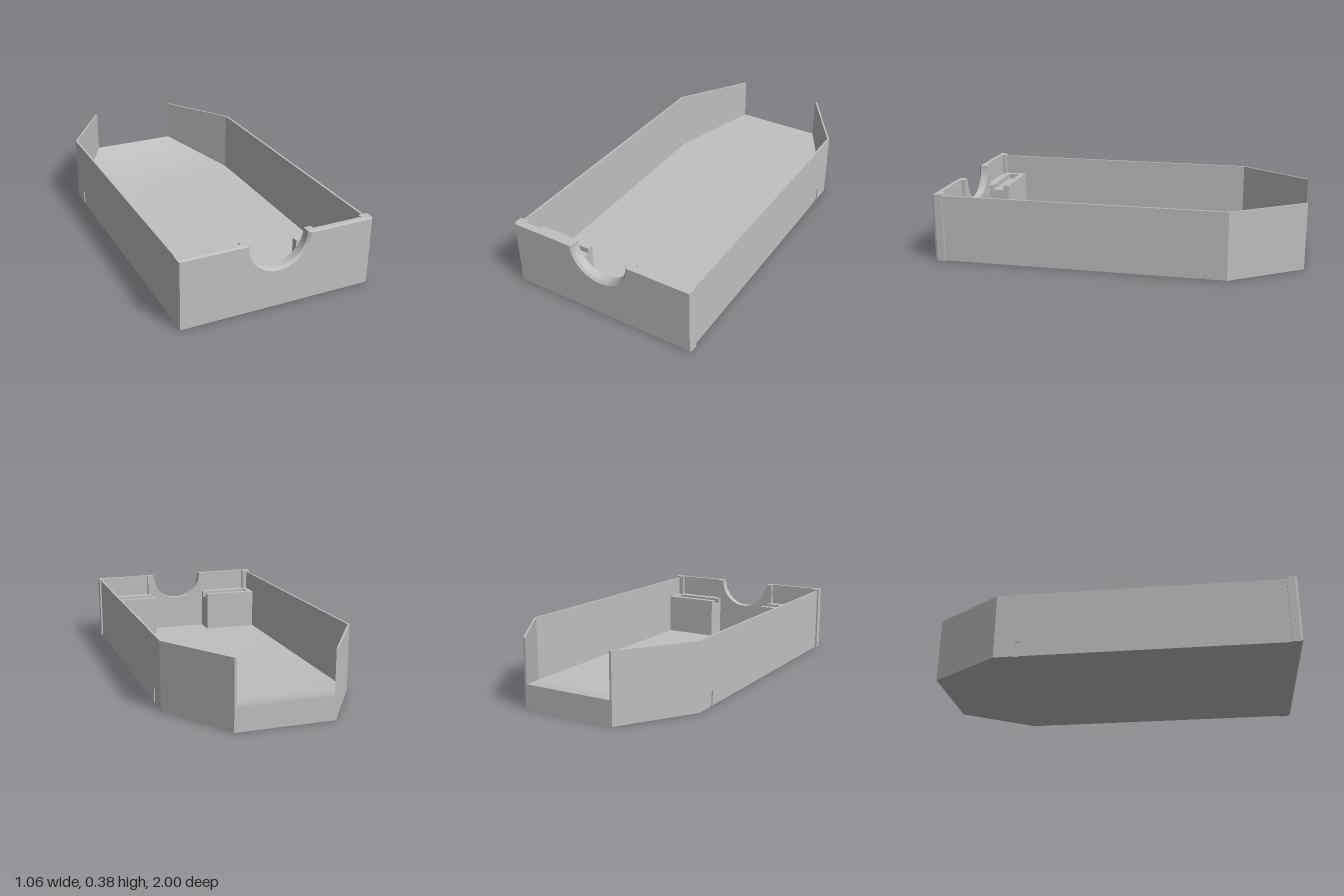
import * as THREE from 'three';

const H = 0.37;        // side wall height
const OUT = 0.52;      // outer half width
const INN = 0.508;     // inner half width
const BEND = -0.61;    // where the sides start to taper
const PLATE_Z = 0.967; // rear face of the front panel

export function createModel() {
  const group = new THREE.Group();
  const gray = new THREE.MeshStandardMaterial({ color: 0xc0c0c0 });
  gray.name = 'lightGray';

  const add = (name, geo) => {
    const mesh = new THREE.Mesh(geo, gray);
    mesh.name = name;
    group.add(mesh);
    return mesh;
  };
  // box given by its limits
  const box = (name, x0, x1, y0, y1, z0, z1) => {
    const g = new THREE.BoxGeometry(Math.abs(x1 - x0), y1 - y0, z1 - z0);
    g.translate((x0 + x1) / 2, (y0 + y1) / 2, (z0 + z1) / 2);
    return add(name, g);
  };
  const shapeOf = (pts) => new THREE.Shape(pts.map(([x, y]) => new THREE.Vector2(x, y)));
  const prism = (pts, depth) => new THREE.ExtrudeGeometry(shapeOf(pts), { depth, bevelEnabled: false });
  // flat-shaded quads, corners counterclockwise
  const quads = (list) => {
    const pos = [];
    for (const [a, b, c, d] of list) pos.push(...a, ...b, ...c, ...a, ...c, ...d);
    const g = new THREE.BufferGeometry();
    g.setAttribute('position', new THREE.Float32BufferAttribute(pos, 3));
    g.computeVertexNormals();
    return g;
  };

  // floor: flat, then a ramp up to the rear lip, as sections of [z, half width, height]
  const rows = [[PLATE_Z, INN, 0.015], [BEND, INN, 0.015], [-1, 0.253, 0.13]];
  const top = new THREE.BufferGeometry();
  top.setAttribute('position', new THREE.Float32BufferAttribute(
    rows.flatMap(([z, w, y]) => [-w, y, z, w, y, z]), 3));
  top.setIndex([0, 1, 3, 0, 3, 2, 2, 3, 5, 2, 5, 4]);
  top.computeVertexNormals();
  add('floorTop', top);

  const under = [0, 1].map((i) => {
    const [z0, w0] = rows[i], [z1, w1] = rows[i + 1];
    return [[-w0, 0, z0], [-w1, 0, z1], [w1, 0, z1], [w0, 0, z0]];
  });
  add('floorUnderside', quads(under));
  const [lz, lw, ly] = rows[2];
  add('rearLip', quads([[[lw, 0, lz], [-lw, 0, lz], [-lw, ly, lz], [lw, ly, lz]]]));

  for (const s of [1, -1]) {
    const side = s > 0 ? 'left' : 'right';

    // long wall: plain inner layer, outer layer with a small groove
    const mid = (OUT + INN) / 2;
    box(side + 'WallInner', s * INN, s * mid, 0, H, BEND, 0.95);
    const outer = prism([
      [-0.95, 0], [0.47, 0], [0.47, 0.08], [0.5, 0.08], [0.5, 0], [-BEND, 0], [-BEND, H], [-0.95, H],
    ], OUT - mid);
    outer.rotateY(Math.PI / 2);
    outer.translate(s > 0 ? mid : -OUT, 0, 0);
    add(side + 'WallOuter', outer);

    // tapering rear wall
    const taper = prism([
      [s * OUT, -BEND], [s * 0.265, 1], [s * 0.253, 1], [s * INN, -BEND],
    ], H);
    taper.rotateX(-Math.PI / 2);
    add(side + 'TaperWall', taper);

    // corner post behind the front panel
    box(side + 'CornerPost', s * 0.48, s * 0.53, 0, 0.38, 0.945, PLATE_Z);

    // block with a shallow channel in its top
    const base = 0.225, rim = 0.255;
    box(side + 'BlockBase', s * 0.18, s * INN, 0.01, base, 0.82, PLATE_Z);
    box(side + 'BlockRearRim', s * 0.18, s * INN, base, rim, 0.82, 0.855);
    box(side + 'BlockFrontRim', s * 0.18, s * INN, base, rim, 0.92, PLATE_Z);
    box(side + 'BlockEndRim', s * 0.478, s * INN, base, rim, 0.855, 0.92);
  }

  // front panel outline with a half-round notch in its top edge
  const outline = (w, bottom, topY, r) => {
    const pts = [[-w, bottom], [w, bottom], [w, topY]];
    const a0 = Math.asin((topY - 0.38) / r);
    const n = 40;
    for (let i = 0; i <= n; i++) {
      const a = a0 + (-Math.PI - 2 * a0) * (i / n);
      pts.push([r * Math.cos(a), 0.38 + r * Math.sin(a)]);
    }
    pts.push([-w, topY]);
    return pts;
  };
  const full = outline(0.53, 0, 0.38, 0.16);
  const inset = outline(0.525, 0.007, 0.375, 0.173);

  const body = prism(full, 0.988 - PLATE_Z);
  body.translate(0, 0, PLATE_Z);
  add('frontPanel', body);

  const face = new THREE.ShapeGeometry(shapeOf(inset));
  face.translate(0, 0, 1);
  add('frontPanelFace', face);

  // chamfer around the front face
  add('frontPanelChamfer', quads(full.map((p, i) => {
    const j = (i + 1) % full.length;
    return [[...p, 0.988], [...full[j], 0.988], [...inset[j], 1], [...inset[i], 1]];
  })));

  // thicker section around the notch
  const collar = prism(outline(0.2, 0, 0.38, 0.16), PLATE_Z - 0.945);
  collar.translate(0, 0, 0.945);
  add('notchCollar', collar);

  return group;
}
